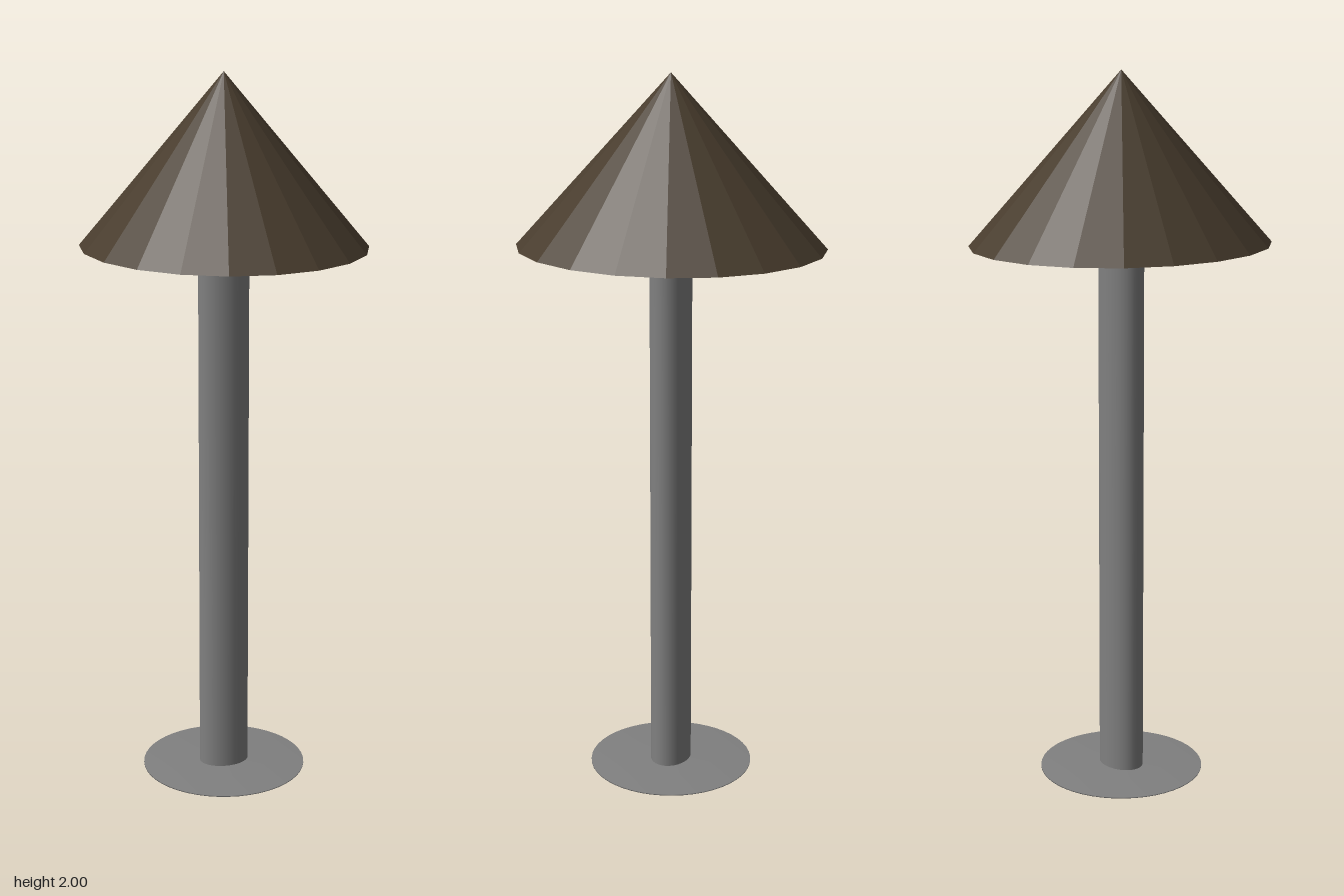
import * as THREE from 'three';

export function createModel() {
  const model = new THREE.Group();
  const grey = new THREE.MeshStandardMaterial({ color: 0x808080 });
  grey.name = 'grey metal';
  const brown = new THREE.MeshStandardMaterial({ color: 0x483c2d, flatShading: true });
  brown.name = 'dark brown';

  const add = (name, geometry, material, y) => {
    const mesh = new THREE.Mesh(geometry, material);
    mesh.name = name;
    mesh.position.y = y;
    model.add(mesh);
  };

  // Thin lens-shaped foot, its rim slightly above the ground
  const profile = [[0, 0], [0.12, 0.004], [0.233, 0.009], [0.233, 0.012], [0.12, 0.016], [0, 0.02]]
    .map(([r, y]) => new THREE.Vector2(r, y));
  add('base', new THREE.LatheGeometry(profile, 48), grey, 0);

  // Oval pole
  const pole = new THREE.CylinderGeometry(1, 1, 1.53, 32);
  pole.scale(0.071, 1, 0.056);
  add('pole', pole, grey, 0.775);

  // Faceted oval cone with a closed underside
  const shade = new THREE.ConeGeometry(1, 0.465, 20);
  shade.scale(0.389, 1, 0.426);
  add('shade', shade, brown, 1.7675);

  return model;
}
